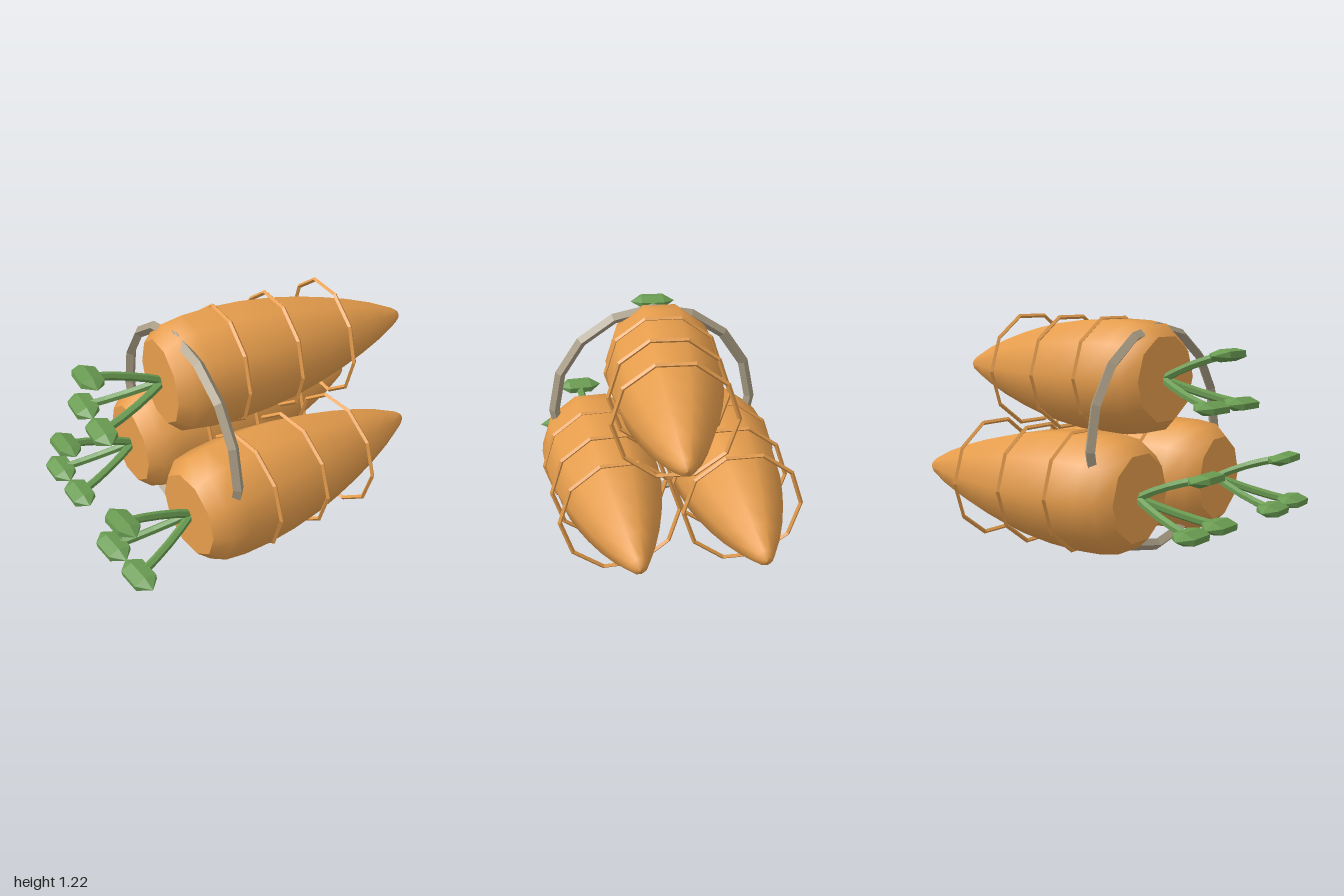
import * as THREE from 'three';

const orange = new THREE.MeshStandardMaterial({ color: 0xe69d4c });
const flatOrange = new THREE.MeshStandardMaterial({ color: 0xe69d4c, flatShading: true });
const green = new THREE.MeshStandardMaterial({ color: 0x6a9c52, flatShading: true });
const twine = new THREE.MeshStandardMaterial({ color: 0xa89c84, flatShading: true });

function addMesh(parent, name, geometry, material) {
  const mesh = new THREE.Mesh(geometry, material);
  mesh.name = name;
  parent.add(mesh);
  return mesh;
}

// Root outline: [radius, distance from the crown]
const profile = [
  [0.225, 0], [0.288, 0.07], [0.305, 0.18], [0.31, 0.33], [0.302, 0.5], [0.28, 0.68],
  [0.25, 0.83], [0.213, 0.98], [0.165, 1.14], [0.11, 1.29], [0.045, 1.43], [0.025, 1.457], [0, 1.467],
].map(([r, d]) => new THREE.Vector2(r, d));

// Leaf stalk end offsets in [y, z]: one above, two below
const stalks = [[0.14, 0], [-0.105, 0.125], [-0.105, -0.125]];

// One carrot lying along +x with its crown at the origin
function createCarrot() {
  const carrot = new THREE.Group();
  addMesh(carrot, 'root', new THREE.LatheGeometry(profile, 10).rotateZ(-Math.PI / 2), orange);
  addMesh(carrot, 'crown', new THREE.CircleGeometry(0.225, 10).rotateY(-Math.PI / 2), flatOrange);

  // Ridges around the root
  for (const x of [0.355, 0.66, 0.967]) {
    const ridge = addMesh(carrot, 'ridge', new THREE.TorusGeometry(0.313, 0.012, 4, 10).rotateY(Math.PI / 2), flatOrange);
    ridge.position.x = x;
  }

  // Stalks, each ending in a faceted leaf
  for (const [y, z] of stalks) {
    const curve = new THREE.QuadraticBezierCurve3(
      new THREE.Vector3(0.02, 0, 0),
      new THREE.Vector3(-0.17, y * 0.7, z * 0.6),
      new THREE.Vector3(-0.36, y, z),
    );
    addMesh(carrot, 'stalk', new THREE.TubeGeometry(curve, 4, 0.022, 6), green);

    const leafShape = new THREE.SphereGeometry(1, 6, 3).rotateX(Math.PI / 2).rotateZ(Math.PI / 2);
    // Keep a corner of the hexagonal section pointing up
    leafShape.rotateZ(0).scale(1, 1, 1);
    const leaf = addMesh(carrot, 'leaf', leafShape.scale(0.08, 0.036, 0.13), green);
    leaf.position.set(-0.373, y, z);
    leaf.rotation.z = -Math.sign(y) * 0.12;
  }
  return carrot;
}

export function createModel() {
  const model = new THREE.Group();
  model.name = 'carrotBundle';

  // Stacked bundle: name, crown position, turn about y
  const layout = [
    ['topCarrot', [-0.475, 0.913, -0.043], -0.08],
    ['frontCarrot', [-0.56, 0.356, 0.356], 0.055],
    ['backCarrot', [-0.53, 0.356, -0.342], -0.01],
  ];
  for (const [name, position, turn] of layout) {
    const carrot = createCarrot();
    carrot.name = name;
    carrot.position.set(...position);
    carrot.rotation.y = turn;
    model.add(carrot);
  }

  // Band tying the bundle together
  const band = addMesh(model, 'band', new THREE.TorusGeometry(0.568, 0.03, 4, 16).rotateY(Math.PI / 2), twine);
  band.position.set(-0.395, 0.6, 0);
  return model;
}
